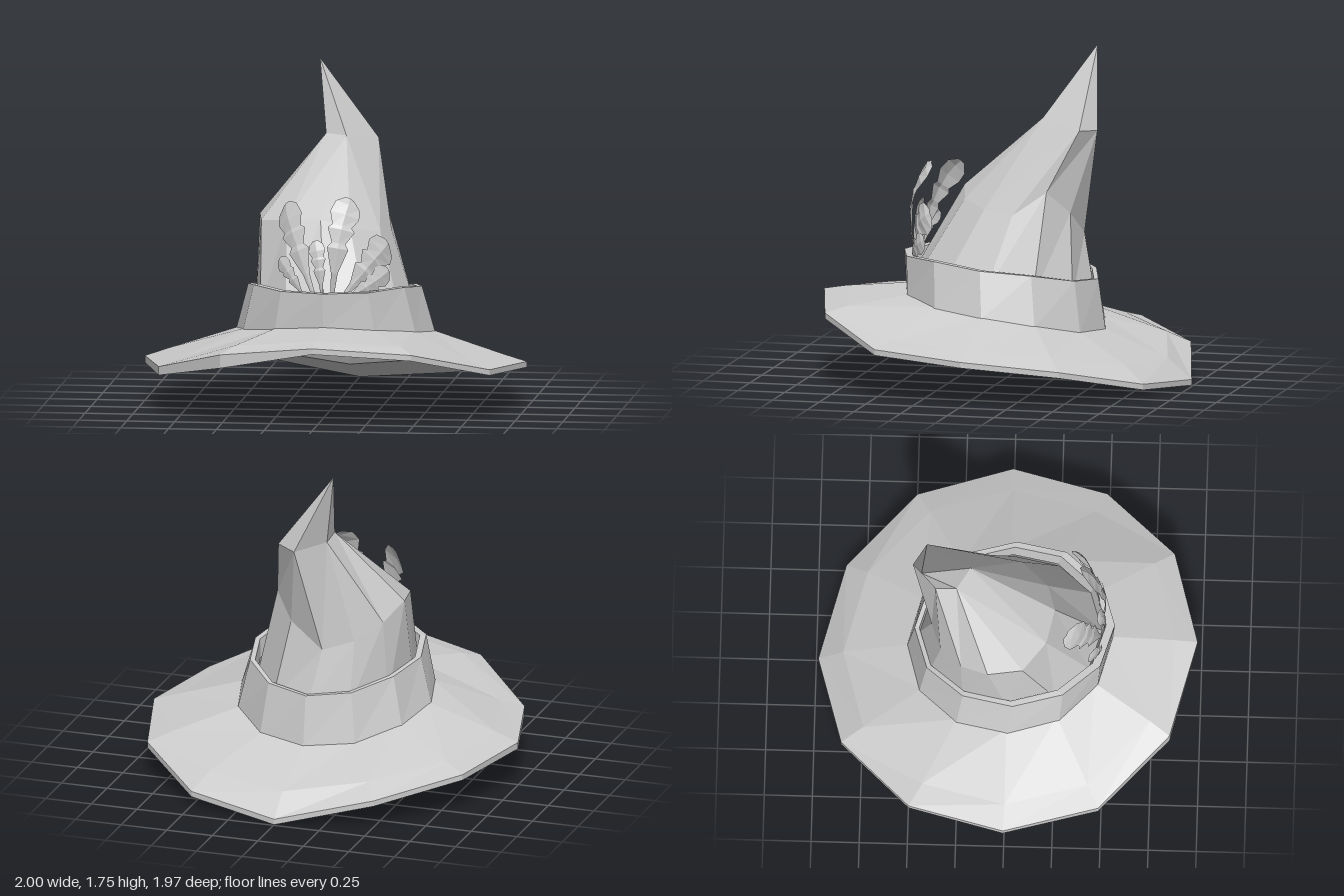
import * as THREE from 'three';

const SIDES = 12;
const grey = () => new THREE.MeshStandardMaterial({ color: 0xcccccc, flatShading: true, side: THREE.DoubleSide });

// Twelve-sided ring; k = 0 is the front and k = 3 the left, heightAt(k, sin, cos) gives y
function ring(cx, cz, rx, rz, heightAt) {
  return Array.from({ length: SIDES }, (_, k) => {
    const a = (k / SIDES) * Math.PI * 2, s = Math.sin(a), c = Math.cos(a);
    return new THREE.Vector3(cx + rx * s, heightAt(k, s, c), cz + rz * c);
  });
}

// Heights from front to back; entries not listed mirror the other side
const heights = (list) => (k) => list[k] ?? list[SIDES - k];
// Heights of a tilted plane
const tilted = (y, dx, dz) => (k, s, c) => y + dx * s + dz * c;
const point = (x, y, z) => Array.from({ length: SIDES }, () => new THREE.Vector3(x, y, z));
const points = (list) => list.map((p) => new THREE.Vector3(...p));

// Joins rings (or open rows) of equal length into flat facets
function loft(name, rows, closed = true) {
  const pos = [];
  const tri = (a, b, c) => {
    if (a.equals(b) || b.equals(c) || a.equals(c)) return;
    pos.push(...a.toArray(), ...b.toArray(), ...c.toArray());
  };
  for (let i = 0; i < rows.length - 1; i++) {
    const n = rows[i].length;
    for (let k = 0; k < (closed ? n : n - 1); k++) {
      const m = (k + 1) % n;
      tri(rows[i][k], rows[i][m], rows[i + 1][m]);
      tri(rows[i][k], rows[i + 1][m], rows[i + 1][k]);
    }
  }
  const geo = new THREE.BufferGeometry();
  geo.setAttribute('position', new THREE.Float32BufferAttribute(pos, 3));
  geo.computeVertexNormals();
  const mesh = new THREE.Mesh(geo, grey());
  mesh.name = name;
  return mesh;
}

// Feather: a folded strip along a curve, [t, half width] pairs with notches
const VANE = [[0, 0.1], [0.22, 0.22], [0.45, 0.7], [0.5, 0.45], [0.64, 0.9], [0.68, 0.65], [0.8, 1], [0.92, 0.85], [1, 0.3]];
function feather(name, base, bend, tip, width) {
  const curve = new THREE.QuadraticBezierCurve3(...points([base, bend, tip]));
  const rows = VANE.map(([t, w]) => {
    const p = curve.getPoint(t), dir = curve.getTangent(t);
    const out = new THREE.Vector3(p.x, 0, p.z).normalize();
    const side = dir.clone().cross(out).normalize();
    const normal = side.clone().cross(dir).normalize();
    return [-1, 0, 1].map((e) => p.clone()
      .addScaledVector(side, e * w * width)
      .addScaledVector(normal, e === 0 ? 0.2 * w * width : 0));
  });
  return loft(name, rows, false);
}

export function createModel() {
  const hat = new THREE.Group();
  hat.name = 'pointedHat';

  // Drooping, uneven brim with a hollow underneath; its right front edge is thicker
  const rimBottom = [0.4, 0.355, 0.235, 0.21, 0.155, 0.05, 0, 0.115, 0.18, 0.2, 0.205, 0.3];
  const rimTop = [0.43, 0.385, 0.265, 0.24, 0.185, 0.08, 0.03, 0.145, 0.21, 0.235, 0.25, 0.37];
  hat.add(loft('brim', [
    point(0, 0.95, -0.1),
    ring(0, 0, 0.58, 0.58, heights([0.36, 0.345, 0.28, 0.24, 0.195, 0.16, 0.125, 0.18, 0.21])),
    ring(0, -0.005, 1, 0.985, heights(rimBottom)),
    ring(0, -0.005, 1, 0.985, heights(rimTop)),
    ring(0, 0, 0.87, 0.86, heights([0.45, 0.415, 0.3, 0.28, 0.235, 0.165, 0.14, 0.205, 0.245, 0.28, 0.29, 0.405])),
    ring(0, 0, 0.5, 0.52, heights([0.48, 0.46, 0.43, 0.4, 0.355, 0.3, 0.28])),
  ]));

  // Thick band
  const bandTop = [0.655, 0.655, 0.66, 0.63, 0.605, 0.56, 0.54];
  hat.add(loft('band', [
    ring(0, 0.005, 0.52, 0.535, heights([0.46, 0.45, 0.42, 0.39, 0.345, 0.29, 0.26])),
    ring(0, 0.03, 0.455, 0.52, heights(bandTop)),
    ring(0, 0.02, 0.425, 0.485, heights(bandTop)),
    ring(0, 0.01, 0.42, 0.47, heights(bandTop.map((y) => y - 0.1))),
  ]));

  // Crumpled crown: uneven waist, five-cornered neck and a crooked tip
  const waist = [
    [-0.05, 1.0, 0.24], [0.1, 0.95, 0.2], [0.24, 0.92, 0.06], [0.28, 0.9, -0.1],
    [0.23, 1.02, -0.27], [0.12, 0.9, -0.37], [-0.06, 0.77, -0.4], [-0.22, 0.82, -0.35],
    [-0.34, 0.9, -0.24], [-0.41, 0.98, -0.1], [-0.38, 0.97, 0.08], [-0.23, 0.99, 0.2],
  ];
  const front = [0.03, 1.38, -0.2], left = [0.17, 1.34, -0.43], back = [0.06, 1.33, -0.5];
  const backRight = [-0.08, 1.36, -0.38], right = [-0.085, 1.38, -0.27];
  const neck = [front, front, front, left, left, back, back, backRight, backRight, right, right, right];
  hat.add(loft('crown', [
    ring(0, 0.01, 0.42, 0.48, tilted(0.51, 0, 0.05)),
    points(waist),
    points(neck),
    point(-0.14, 1.75, -0.45),
  ]));

  // Spray of feathers tucked into the front of the band
  const feathers = new THREE.Group();
  feathers.name = 'feathers';
  [
    [[-0.05, 0.62, 0.48], [-0.16, 0.92, 0.46], [-0.22, 1.09, 0.3], 0.085],
    [[0.04, 0.62, 0.48], [0.07, 0.95, 0.55], [0.12, 1.13, 0.37], 0.08],
    [[0.09, 0.62, 0.47], [0.23, 0.8, 0.46], [0.31, 0.9, 0.33], 0.095],
    [[-0.1, 0.62, 0.48], [-0.17, 0.74, 0.5], [-0.24, 0.82, 0.42], 0.045],
    [[-0.01, 0.62, 0.49], [-0.02, 0.8, 0.52], [-0.05, 0.92, 0.46], 0.045],
    [[0.1, 0.62, 0.47], [0.23, 0.68, 0.47], [0.32, 0.76, 0.36], 0.06],
  ].forEach((f, i) => feathers.add(feather('feather' + (i + 1), ...f)));
  hat.add(feathers);

  return hat;
}
